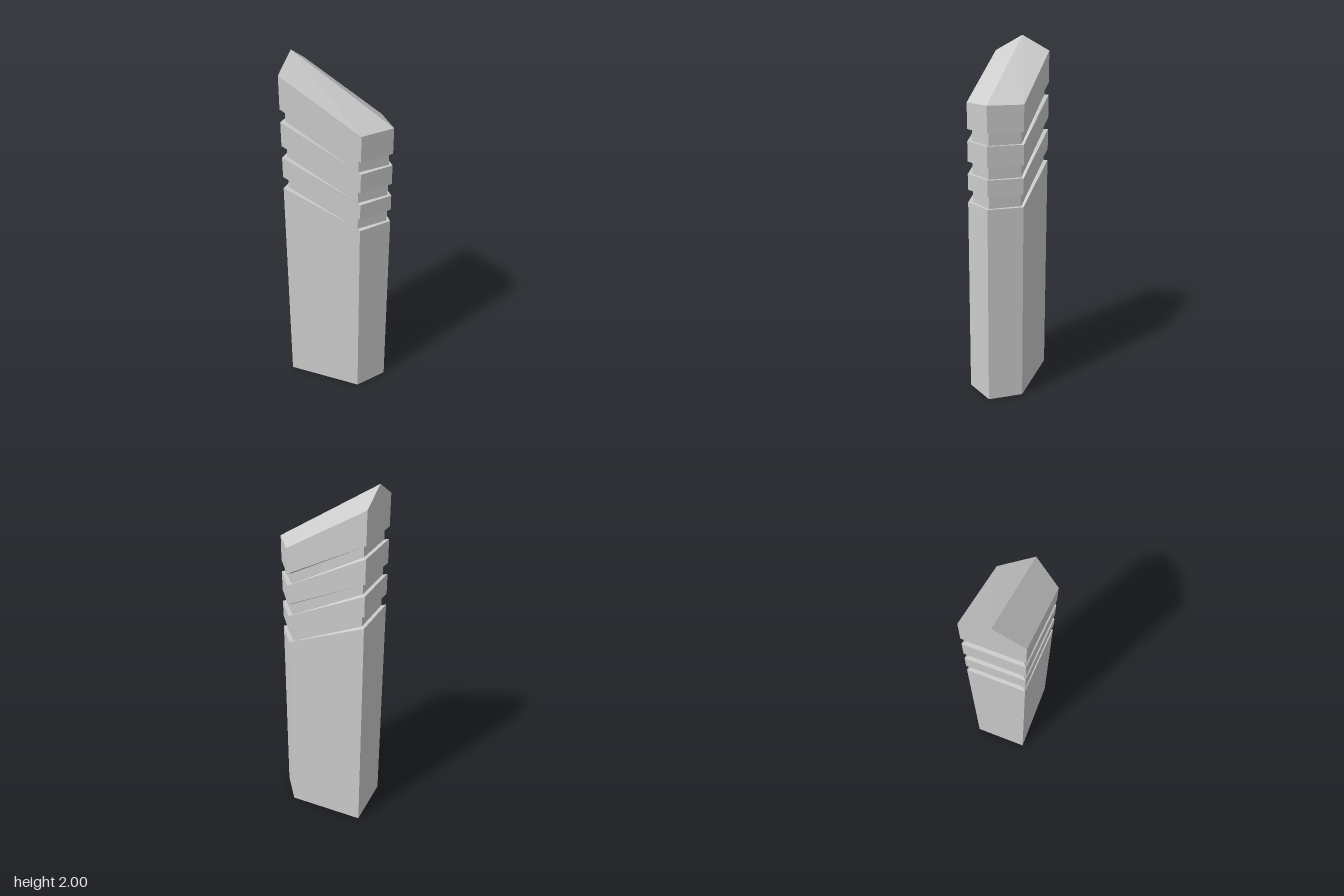
import * as THREE from 'three';

// Five-sided plan, counter-clockwise from above, starting at the front left of the flat end
const OUTER = [[-0.278, 0.16], [0.16, 0.16], [0.278, 0], [0.16, -0.16], [-0.278, -0.16]];
const INNER = [[-0.258, 0.14], [0.14, 0.14], [0.257, 0], [0.14, -0.14], [-0.258, -0.14]];

// Cross-section that is high at the flat end and low along the pointed edge
function ring(plan, endY, pointY) {
  return plan.map(([x, z], i) => [x, i === 0 || i === 4 ? endY : pointY, z]);
}

// Triangles from a list of corner triples
function surface(name, triangles, material) {
  const geometry = new THREE.BufferGeometry();
  geometry.setAttribute('position', new THREE.Float32BufferAttribute(triangles.flat(2), 3));
  geometry.computeVertexNormals();
  const mesh = new THREE.Mesh(geometry, material);
  mesh.name = name;
  return mesh;
}

// Walls joining a lower ring to an upper ring
function loft(low, high) {
  const triangles = [];
  for (let i = 0; i < 5; i++) {
    const j = (i + 1) % 5;
    triangles.push([low[i], low[j], high[j]], [low[i], high[j], high[i]]);
  }
  return triangles;
}

export function createModel() {
  const group = new THREE.Group();
  group.name = 'groovedPost';
  const stone = new THREE.MeshStandardMaterial({ color: 0xcccccc, side: THREE.DoubleSide });
  stone.name = 'paleGrey';

  // Grooves from bottom to top: lower and upper edge heights at the end and the point
  const grooves = [
    { low: [1.294, 1.117], high: [1.36, 1.188] },
    { low: [1.475, 1.275], high: [1.54, 1.344] },
    { low: [1.672, 1.453], high: [1.74, 1.519] },
  ];

  // Hollow shaft, open underneath, then alternating grooves and bands
  let base = ring(OUTER, 0, 0);
  grooves.forEach(({ low, high }, k) => {
    const top = ring(OUTER, ...low);
    const innerLow = ring(INNER, ...low);
    const innerHigh = ring(INNER, ...high);
    const next = ring(OUTER, ...high);
    group.add(surface(k ? 'band' + k : 'shaft', loft(base, top), stone));
    group.add(surface('groove' + (k + 1),
      [...loft(top, innerLow), ...loft(innerLow, innerHigh), ...loft(innerHigh, next)], stone));
    base = next;
  });

  // Top band below the sloping roof
  const eaves = ring(OUTER, 1.915, 1.66);
  group.add(surface('topBand', loft(base, eaves), stone));

  // Ridged roof with a gable at the flat end
  const ridge = [-0.278, 2, 0];
  const [a, b, tip, c, d] = eaves;
  group.add(surface('roof', [
    [a, b, ridge], [b, tip, ridge], [tip, c, ridge], [c, d, ridge], [d, a, ridge],
  ], stone));
  return group;
}
